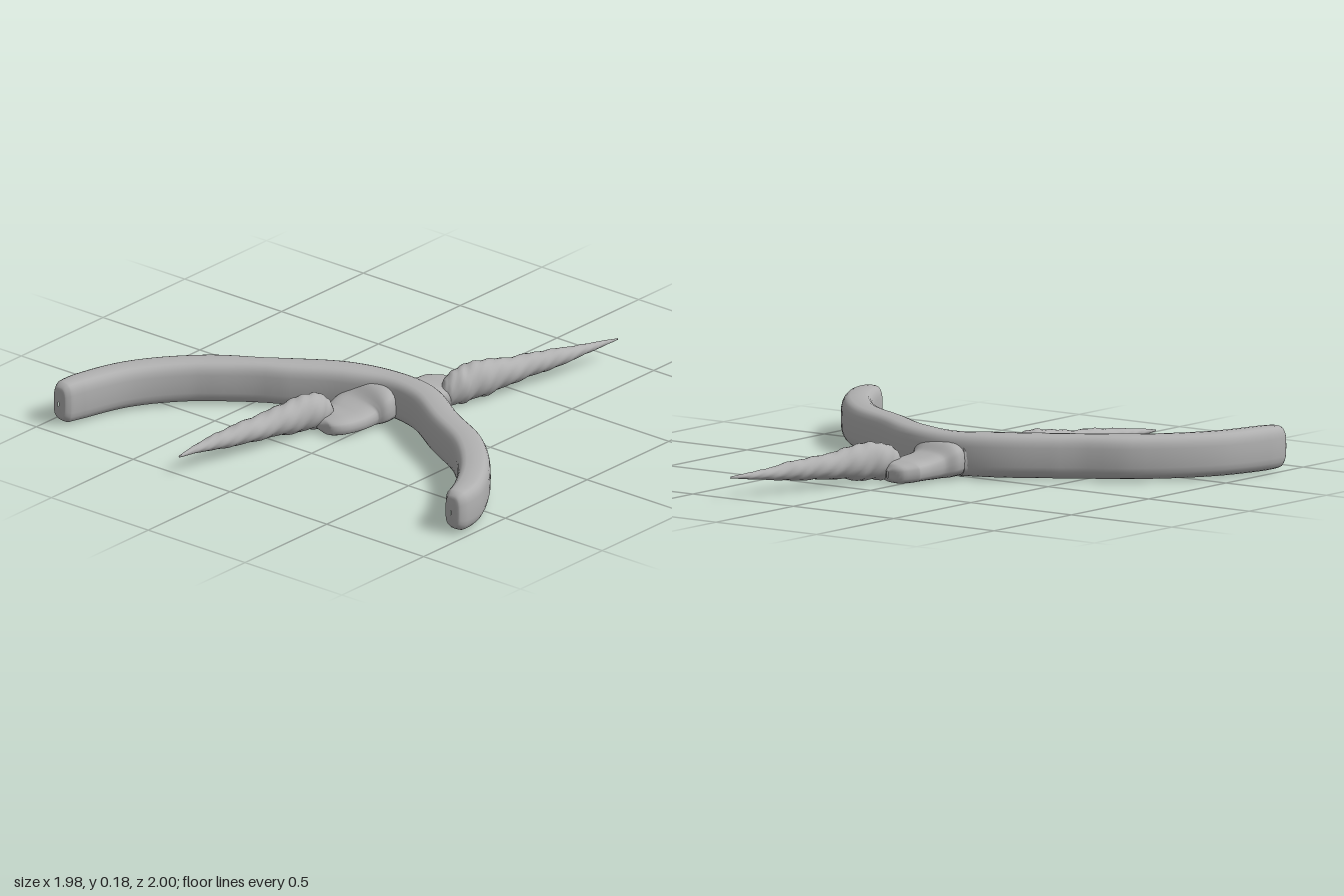
import * as THREE from 'three';

// Closed skin over stations [x, z, bottom y, top y, half width]; n sets how square the section is
function loft(stations, n, lump = 0, sides = 24, steps = 6) {
  const centre = new THREE.CatmullRomCurve3(stations.map(([x, z, b, t]) => new THREE.Vector3(x, (b + t) / 2, z)));
  const size = new THREE.CatmullRomCurve3(stations.map(([, , b, t, w]) => new THREE.Vector3(w, (t - b) / 2, 0)));
  const rings = (stations.length - 1) * steps;
  const pos = [], index = [];
  const up = new THREE.Vector3(0, 1, 0);
  const power = (v) => Math.sign(v) * Math.abs(v) ** (2 / n);
  for (let i = 0; i <= rings; i++) {
    const u = i / rings;
    const c = centre.getPoint(u), s = size.getPoint(u);
    const t = centre.getTangent(u).setY(0).normalize();
    const side = new THREE.Vector3().crossVectors(up, t);
    for (let j = 0; j < sides; j++) {
      const a = (j / sides) * Math.PI * 2;
      const k = 1 + lump * Math.sin(i * 1.3 + 2 * a) * Math.sin(3 * a + i * 0.4);
      const p = c.clone()
        .addScaledVector(side, Math.max(s.x, 0.0005) * k * power(Math.cos(a)))
        .addScaledVector(up, Math.max(s.y, 0.0005) * k * power(Math.sin(a)));
      pos.push(p.x, Math.max(p.y, 0), p.z);
      if (i < rings) {
        const q = i * sides, j2 = (j + 1) % sides;
        index.push(q + j, q + j2, q + sides + j, q + j2, q + sides + j2, q + sides + j);
      }
    }
  }
  const geo = new THREE.BufferGeometry();
  geo.setAttribute('position', new THREE.Float32BufferAttribute(pos, 3));
  geo.setIndex(index);
  geo.computeVertexNormals();
  return geo;
}

export function createModel() {
  const model = new THREE.Group();
  const grey = new THREE.MeshStandardMaterial({ color: 0xb0b0b0 });
  grey.name = 'grey';
  const add = (name, geo) => {
    const mesh = new THREE.Mesh(geo, grey);
    mesh.name = name;
    model.add(mesh);
  };

  // Long bent bar, from the right tip through the hub to the left tip
  add('curvedArms', loft([
    [-0.945, 0.93, 0.08, 0.1, 0.002], [-0.945, 0.925, 0.03, 0.155, 0.03], [-0.942, 0.9, 0.008, 0.176, 0.048],
    [-0.93, 0.82, 0.004, 0.18, 0.058],
    [-0.86, 0.6, 0.004, 0.18, 0.064], [-0.69, 0.38, 0.004, 0.18, 0.066], [-0.42, 0.19, 0.004, 0.18, 0.066],
    [-0.2, 0.055, 0.004, 0.18, 0.07], [-0.02, 0, 0.004, 0.175, 0.065], [0.18, 0.03, 0.004, 0.18, 0.068],
    [0.4, 0.16, 0.004, 0.18, 0.066], [0.62, 0.28, 0.004, 0.18, 0.068], [0.8, 0.455, 0.004, 0.18, 0.066],
    [0.91, 0.63, 0.004, 0.18, 0.063], [0.935, 0.72, 0.008, 0.176, 0.052],
    [0.935, 0.75, 0.03, 0.155, 0.033], [0.935, 0.757, 0.08, 0.1, 0.002],
  ], 3.2));

  // Low pads sloping out of the hub, front and back
  add('frontPad', loft([
    [-0.03, -0.02, 0, 0.15, 0.1], [-0.06, 0.07, 0, 0.14, 0.14], [-0.073, 0.13, 0, 0.095, 0.12],
    [-0.072, 0.2, 0, 0.075, 0.108], [-0.085, 0.26, 0, 0.07, 0.1], [-0.11, 0.305, 0, 0.06, 0.065],
    [-0.12, 0.33, 0.02, 0.04, 0.005],
  ], 3));
  add('backPad', loft([
    [-0.01, 0.03, 0, 0.15, 0.1], [0.005, -0.06, 0, 0.14, 0.13], [0.015, -0.11, 0, 0.105, 0.105],
    [0.03, -0.18, 0, 0.09, 0.105], [0.04, -0.25, 0, 0.085, 0.11], [0.045, -0.295, 0, 0.075, 0.075],
    [0.055, -0.32, 0.02, 0.05, 0.005],
  ], 3));

  // Gnarled tapering spikes
  add('frontSpike', loft([
    [-0.135, 0.21, 0.04, 0.06, 0.004], [-0.142, 0.24, 0.005, 0.115, 0.045], [-0.155, 0.3, 0.003, 0.15, 0.064],
    [-0.175, 0.4, 0.01, 0.148, 0.06], [-0.2, 0.52, 0.025, 0.13, 0.054], [-0.222, 0.66, 0.035, 0.122, 0.046],
    [-0.245, 0.78, 0.045, 0.11, 0.034], [-0.258, 0.88, 0.06, 0.097, 0.02], [-0.266, 1, 0.072, 0.079, 0.002],
  ], 2, 0.07));
  add('backSpike', loft([
    [0.1, -0.17, 0.04, 0.06, 0.004], [0.108, -0.2, 0.005, 0.115, 0.04], [0.123, -0.27, 0.003, 0.15, 0.062],
    [0.15, -0.36, 0.008, 0.157, 0.06], [0.18, -0.47, 0.025, 0.137, 0.051], [0.21, -0.6, 0.035, 0.125, 0.042],
    [0.24, -0.7, 0.042, 0.118, 0.036], [0.267, -0.82, 0.057, 0.102, 0.024], [0.29, -0.91, 0.068, 0.095, 0.014],
    [0.315, -1, 0.081, 0.087, 0.002],
  ], 2, 0.07));
  return model;
}
